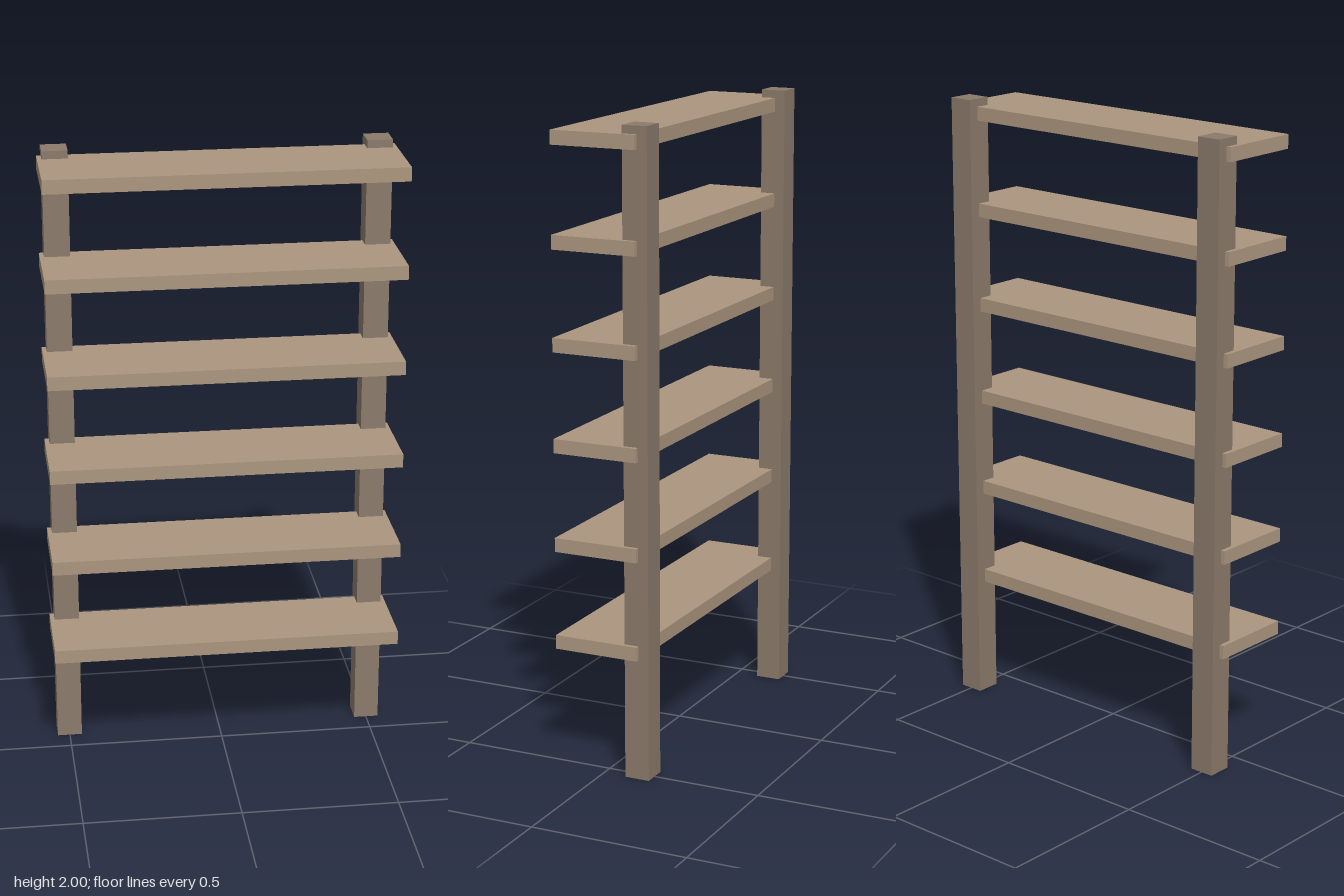
import * as THREE from 'three';

const SHELF_COUNT = 6;
const FIRST_SHELF = 0.406;
const LAST_SHELF = 1.953;

export function createModel() {
  const group = new THREE.Group();
  const postMaterial = new THREE.MeshStandardMaterial({ color: 0x8b7a6a });
  const shelfMaterial = new THREE.MeshStandardMaterial({ color: 0xab967e });

  function addBox(name, size, position, material) {
    const mesh = new THREE.Mesh(new THREE.BoxGeometry(...size), material);
    mesh.name = name;
    mesh.position.set(...position);
    group.add(mesh);
  }

  // Two square uprights at the back
  for (const [name, side] of [['leftPost', 1], ['rightPost', -1]]) {
    addBox(name, [0.08, 2, 0.08], [side * 0.5, 1, -0.114], postMaterial);
  }

  // Evenly spaced shelves, let halfway into the uprights
  for (let i = 0; i < SHELF_COUNT; i++) {
    const y = THREE.MathUtils.lerp(FIRST_SHELF, LAST_SHELF, i / (SHELF_COUNT - 1));
    addBox(`shelf${i + 1}`, [1.108, 0.044, 0.275], [0, y, 0.0165], shelfMaterial);
  }

  return group;
}
